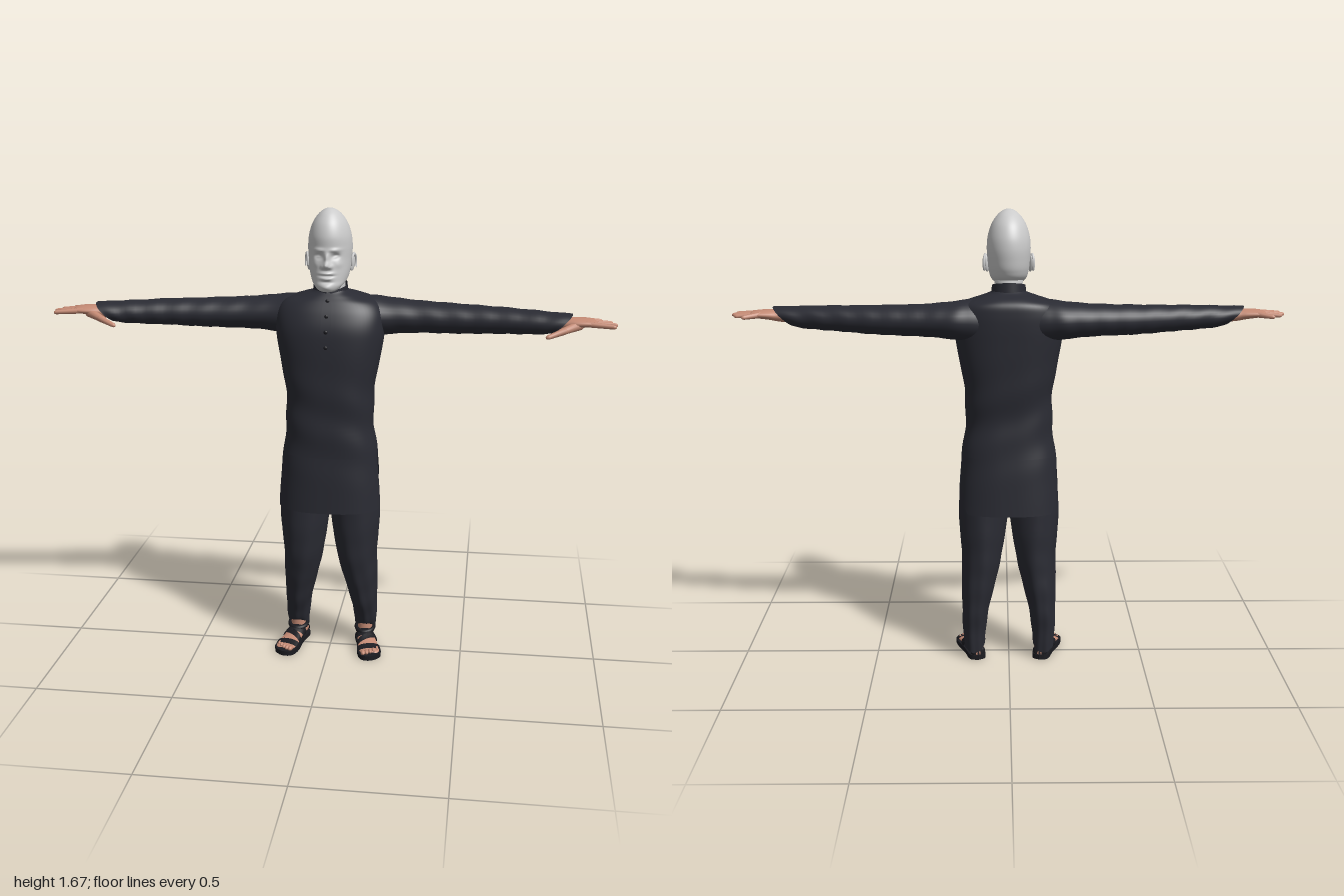
import * as THREE from 'three';

const { sin, cos, abs, sign, exp, PI, min, floor } = Math;
const lerp = THREE.MathUtils.lerp;

const material = (name, color, double) => {
  const m = new THREE.MeshStandardMaterial({ color });
  m.name = name;
  if (double) m.side = THREE.DoubleSide;
  return m;
};

// Smooth interpolation through a short list of cross-sections, u in 0..1
function profile(rows) {
  const last = rows.length - 1;
  return u => {
    const f = min(u * last, last - 1e-6), i = floor(f), t = f - i;
    const [a, b, c, d] = [-1, 0, 1, 2].map(k => rows[Math.max(0, min(last, i + k))]);
    return b.map((_, k) => b[k] + 0.5 * t * (c[k] - a[k] + t * (2 * a[k] - 5 * b[k] + 4 * c[k] - d[k]
      + t * (3 * (b[k] - c[k]) + d[k] - a[k]))));
  };
}

// Surface from f(u, v) -> [x, y, z]; v runs around and may close on itself
function surface(f, rows, cols, closed = true) {
  const pos = [], idx = [], n = closed ? cols : cols + 1;
  for (let i = 0; i <= rows; i++) for (let j = 0; j < n; j++) pos.push(...f(i / rows, j / cols));
  for (let i = 0; i < rows; i++) for (let j = 0; j < cols; j++) {
    const k = (j + 1) % n, a = i * n + j, b = i * n + k, c = b + n, d = a + n;
    idx.push(a, b, c, a, c, d);
  }
  const g = new THREE.BufferGeometry();
  g.setAttribute('position', new THREE.Float32BufferAttribute(pos, 3));
  g.setIndex(idx);
  g.computeVertexNormals();
  return g;
}

// Copy reflected across x = 0, with corner order corrected
function mirrored(geo) {
  const g = geo.index ? geo.clone() : geo.toNonIndexed ? geo.clone() : geo;
  g.scale(-1, 1, 1);
  if (!g.index) g.setIndex([...Array(g.attributes.position.count).keys()]);
  const a = g.index.array;
  for (let i = 0; i < a.length; i += 3) [a[i + 1], a[i + 2]] = [a[i + 2], a[i + 1]];
  return g;
}

// Tapered rounded rod between two points
function finger(from, to, r) {
  const a = new THREE.Vector3(...from), b = new THREE.Vector3(...to), len = a.distanceTo(b);
  const g = new THREE.CapsuleGeometry(r, len, 5, 10), p = g.attributes.position;
  for (let i = 0; i < p.count; i++) {
    const k = 0.85 - 0.3 * p.getY(i) / len;
    p.setX(i, p.getX(i) * k);
    p.setZ(i, p.getZ(i) * k);
  }
  g.computeVertexNormals();
  const dir = b.clone().sub(a).normalize();
  g.applyQuaternion(new THREE.Quaternion().setFromUnitVectors(new THREE.Vector3(0, 1, 0), dir));
  const c = a.add(b).multiplyScalar(0.5);
  return g.translate(c.x, c.y, c.z);
}

export function createModel() {
  const model = new THREE.Group();
  const cloth = material('charcoal cloth', 0x2a2b33, true);
  const skin = material('skin', 0xc48a74);
  const pale = material('pale head', 0xcbcbcb);
  const leather = material('black leather', 0x1b1b20, true);

  const add = (name, geo, mat) => {
    const m = new THREE.Mesh(geo, mat);
    m.name = name;
    model.add(m);
  };
  const pair = (name, geo, mat) => {
    add(name + 'Left', geo, mat);
    add(name + 'Right', mirrored(geo), mat);
  };

  // Tunic: y, half width, front z, back z
  const tunic = profile([
    [0.58, 0.19, 0.13, -0.145], [0.68, 0.183, 0.13, -0.14], [0.79, 0.172, 0.128, -0.132],
    [0.9, 0.159, 0.128, -0.12], [1.0, 0.158, 0.13, -0.125], [1.1, 0.172, 0.132, -0.132],
    [1.2, 0.19, 0.131, -0.137], [1.26, 0.195, 0.125, -0.14], [1.31, 0.19, 0.108, -0.14],
    [1.345, 0.165, 0.088, -0.135], [1.365, 0.11, 0.072, -0.115], [1.378, 0.07, 0.06, -0.08],
    [1.386, 0.058, 0.053, -0.066]]);
  const tunicPoint = (u, t, out = 0) => {
    const [y, rx, zf, zb] = tunic(u), c = (zf + zb) / 2, rz = (zf - zb) / 2;
    const fold = out + 0.003 * sin(y * 38 + 2.5 * sin(t)) * exp(-(((y - 0.92) / 0.16) ** 2));
    const power = v => sign(v) * abs(v) ** 0.78;
    return [(rx + fold) * power(sin(t)), y, c + (rz + fold) * power(cos(t))];
  };
  const slitTop = 2 / 12;
  add('tunicBody', surface((u, v) => tunicPoint(lerp(slitTop, 1, u), v * 2 * PI), 60, 64), cloth);
  // Skirt panels spread apart below the slit
  add('tunicFrontPanel', surface((u, v) =>
    tunicPoint(u * slitTop, (v * 2 - 1) * lerp(1.3, PI / 2, u)), 12, 32, false), cloth);
  add('tunicBackPanel', surface((u, v) =>
    tunicPoint(u * slitTop, PI + (v * 2 - 1) * lerp(0.85, PI / 2, u)), 12, 32, false), cloth);
  add('placket', surface((u, v) =>
    tunicPoint(lerp(0.46, 0.98, u), (v * 2 - 1) * 0.045, 0.003), 30, 4, false), cloth);
  add('collar', surface((u, v) => {
    const t = v * 2 * PI, k = 1 - 0.06 * u;
    return [0.064 * k * sin(t), lerp(1.35, 1.405, u) - 0.014 * cos(t), -0.004 + 0.067 * k * cos(t)];
  }, 6, 48), cloth);
  for (const u of [0.5, 0.575, 0.66, 0.79]) {
    const [x, y, z] = tunicPoint(u, 0, 0.004);
    add('button', new THREE.SphereGeometry(0.007, 12, 8).scale(1, 1, 0.6).translate(x, y, z), leather);
  }

  // Sleeves: x, centre y, centre z, half height, half depth
  const sleeve = profile([
    [0.06, 1.275, -0.03, 0.085, 0.09], [0.14, 1.283, -0.042, 0.076, 0.093], [0.2, 1.285, -0.05, 0.067, 0.09],
    [0.3, 1.285, -0.045, 0.058, 0.075], [0.45, 1.284, -0.03, 0.053, 0.066], [0.6, 1.286, -0.008, 0.047, 0.058],
    [0.75, 1.287, 0.02, 0.04, 0.054], [0.815, 1.289, 0.033, 0.034, 0.053]]);
  pair('sleeve', surface((u, v) => {
    const t = v * 2 * PI, [x, cy, cz, ry, rz] = sleeve(u);
    const k = 1 + 0.03 * u * sin(x * 75 + 2 * sin(t + x * 6));
    return [x + 0.035 * u ** 6 * cos(t), cy + ry * k * cos(t), cz + rz * k * sin(t)];
  }, 60, 32), cloth);

  // Hands
  const palm = profile([
    [0.74, 1.287, 0.022, 0.022, 0.03], [0.82, 1.29, 0.035, 0.022, 0.034], [0.86, 1.294, 0.037, 0.019, 0.042],
    [0.9, 1.296, 0.036, 0.015, 0.046], [0.925, 1.296, 0.036, 0.01, 0.042], [0.932, 1.296, 0.036, 0.001, 0.03]]);
  pair('palm', surface((u, v) => {
    const t = v * 2 * PI, [x, cy, cz, ry, rz] = palm(u);
    return [x, cy + ry * cos(t), cz + rz * sin(t)];
  }, 20, 24), skin);
  const fingers = [[0.068, 0.085, 0.985], [0.047, 0.05, 0.992], [0.025, 0.016, 0.978], [0.004, -0.02, 0.945]];
  for (const [z0, z1, tip] of fingers)
    pair('finger', finger([0.895, 1.296, z0], [tip, 1.291, z1], 0.011), skin);
  pair('thumbBase', finger([0.87, 1.288, 0.06], [0.81, 1.272, 0.098], 0.017), skin);
  pair('thumbTip', finger([0.82, 1.274, 0.095], [0.768, 1.258, 0.12], 0.012), skin);

  // Loose trousers: y, centre x, centre z, half width, half depth
  const leg = profile([
    [0.06, 0.13, -0.05, 0.038, 0.044], [0.12, 0.13, -0.042, 0.043, 0.058], [0.2, 0.124, -0.03, 0.05, 0.08],
    [0.3, 0.112, -0.018, 0.064, 0.096], [0.4, 0.1, -0.007, 0.075, 0.107], [0.58, 0.094, -0.002, 0.092, 0.111],
    [0.82, 0.085, 0, 0.08, 0.1]]);
  pair('trouserLeg', surface((u, v) => {
    const t = v * 2 * PI, [y, cx, cz, rx, rz] = leg(u);
    const k = 1 + 0.045 * sin(7 * t + 9 * y) * (1 - u) + 0.03 * sin(y * 60 + 3 * cos(t)) * exp(-y * 4);
    return [cx + rx * k * sin(t), y + 0.03 * (1 - u) ** 8 * cos(t), cz + rz * k * cos(t)];
  }, 60, 48), cloth);

  // Feet and sandals, shaped pointing ahead and then turned out
  const place = g => g.rotateY(0.26).translate(0.127, 0, -0.04);
  const foot = profile([
    [-0.046, 0.004, 0.03], [-0.04, 0.022, 0.045], [-0.01, 0.029, 0.06], [0.03, 0.031, 0.06],
    [0.075, 0.036, 0.043], [0.115, 0.039, 0.031], [0.14, 0.034, 0.026], [0.148, 0.02, 0.022]]);
  const footPart = (u0, u1, grow, lean = 0) => place(surface((u, v) => {
    const t = v * 2 * PI, [z, rx, top] = foot(lerp(u0, u1, u)), mid = (top + 0.014) / 2;
    return [(rx + grow) * cos(t), mid + (mid - 0.014 + grow) * sin(t), z + lean * cos(t)];
  }, 20, 28));
  pair('foot', footPart(0, 1, 0), skin);
  pair('ankle', new THREE.CylinderGeometry(0.027, 0.03, 0.13, 20).translate(0.13, 0.1, -0.045), skin);
  for (let i = 0; i < 5; i++)
    pair('toe', place(new THREE.SphereGeometry(0.0105 - i * 0.0008, 12, 8).scale(0.85, 0.9, 1.5)
      .translate(-0.029 + i * 0.0145, 0.026, 0.15 - 0.0018 * i * i)), skin);
  const outline = new THREE.Shape(new THREE.SplineCurve([
    [0, 0.052], [0.03, 0.035], [0.034, -0.03], [0.044, -0.1], [0.038, -0.145], [0.0, -0.17],
    [-0.036, -0.158], [-0.044, -0.11], [-0.033, -0.04], [-0.03, 0.035], [0, 0.052]]
    .map(p => new THREE.Vector2(...p))).getPoints(50));
  pair('sandalSole', place(new THREE.ExtrudeGeometry(outline, { depth: 0.018, bevelEnabled: false })
    .rotateX(-PI / 2)), leather);
  pair('toeStrap', footPart(0.66, 0.78, 0.004), leather);
  pair('instepStrap', footPart(0.4, 0.52, 0.004, 0.008), leather);
  pair('crossStrap', footPart(0.5, 0.58, 0.005, -0.022), leather);
  pair('heelStrap', footPart(0.01, 0.17, 0.004), leather);
  pair('ankleStrap', new THREE.TorusGeometry(0.034, 0.007, 8, 28).rotateX(PI / 2).scale(1, 1.3, 1.15)
    .rotateX(0.2).translate(0.13, 0.064, -0.04), leather);

  // Head: y, half width, front z, back z
  const skull = profile([
    [1.388, 0.003, 0.085, 0.07], [1.393, 0.03, 0.104, 0.04], [1.41, 0.05, 0.11, 0], [1.43, 0.064, 0.107, -0.065],
    [1.46, 0.072, 0.103, -0.088], [1.5, 0.076, 0.098, -0.097], [1.54, 0.078, 0.098, -0.1],
    [1.58, 0.074, 0.098, -0.094], [1.62, 0.061, 0.085, -0.075], [1.65, 0.041, 0.062, -0.045],
    [1.667, 0.02, 0.038, -0.012], [1.673, 0.001, 0.018, 0.014]]);
  // Face relief: x, y, spread x, spread y, height
  const relief = [
    [0, 1.484, 0.011, 0.011, 0.026], [0, 1.508, 0.008, 0.018, 0.012], [0.014, 1.478, 0.007, 0.007, 0.009],
    [0.03, 1.513, 0.013, 0.009, -0.014], [0.03, 1.511, 0.008, 0.004, 0.008], [0.028, 1.535, 0.02, 0.006, 0.006],
    [0, 1.455, 0.02, 0.005, 0.009], [0, 1.447, 0.022, 0.003, -0.007], [0, 1.438, 0.017, 0.005, 0.009],
    [0, 1.425, 0.02, 0.005, -0.004], [0, 1.407, 0.018, 0.01, 0.006], [0.042, 1.485, 0.013, 0.012, 0.004]];
  add('head', surface((u, v) => {
    const t = v * 2 * PI, [y, rx, zf, zb] = skull(u);
    const x = rx * sin(t);
    let z = (zf + zb) / 2 + (zf - zb) / 2 * cos(t);
    if (cos(t) > 0) for (const [fx, fy, sx, sy, h] of relief)
      z += h * cos(t) ** 0.5 * exp(-(((abs(x) - fx) / sx) ** 2) - ((y - fy) / sy) ** 2);
    return [x, y, z];
  }, 110, 112), pale);
  add('neck', new THREE.CylinderGeometry(0.05, 0.054, 0.12, 28).rotateX(0.12).translate(0, 1.4, -0.008), pale);
  pair('ear', new THREE.SphereGeometry(0.5, 16, 12).scale(0.014, 0.062, 0.036)
    .rotateX(-0.15).rotateY(-0.35).translate(0.077, 1.482, 0), pale);
  pair('earRim', new THREE.TorusGeometry(0.02, 0.005, 8, 20, 4.4).rotateZ(-0.9).scale(0.8, 1.4, 1)
    .rotateY(PI / 2 - 0.35).translate(0.083, 1.483, -0.001), pale);

  return model;
}
